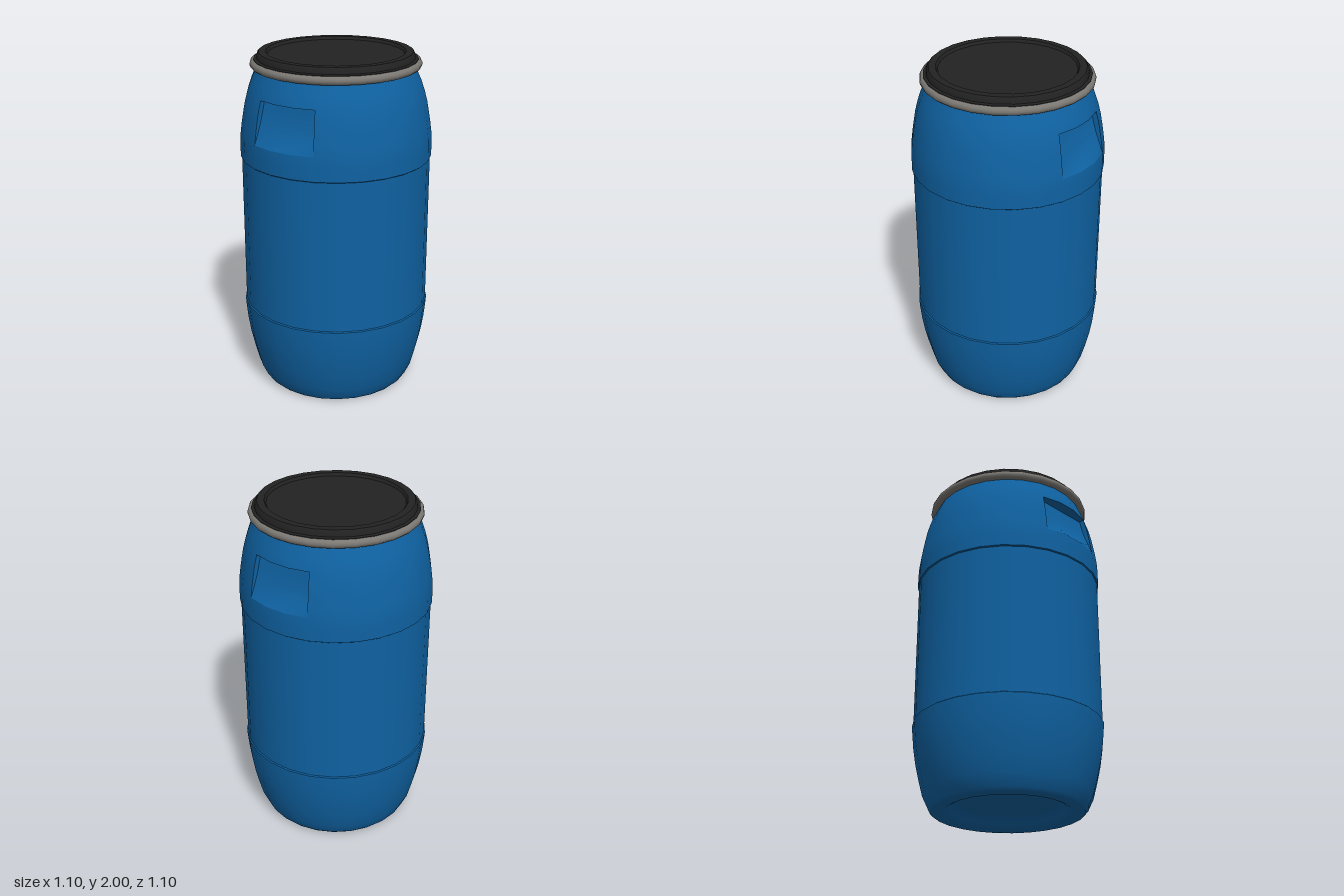
import * as THREE from 'three';
import { toCreasedNormals } from 'three/addons/utils/BufferGeometryUtils.js';

const SIDES = 26;
const STEP = (Math.PI * 2) / SIDES;

// Turned part with a flat side facing front and back.
function turned(points) {
  return new THREE.LatheGeometry(points.map(([r, y]) => new THREE.Vector2(r, y)), SIDES, Math.PI / 2);
}

// Body rows that the hand grips cut through, bottom to top.
const GRIP_ROWS = [[0.549, 1.54], [0.541, 1.6], [0.531, 1.66], [0.52, 1.72], [0.503, 1.785]];
const GRIP_DEPTH = [null, 0.495, 0.472, 0.455, 0.445];

// Repeated points keep an edge sharp.
const BODY = [
  [0, 0.06], [0.27, 0.06], [0.3, 0.05], [0.33, 0.02], [0.36, 0.003], [0.4, 0], [0.43, 0.003], [0.447, 0.02],
  [0.48, 0.09], [0.506, 0.19], [0.526, 0.28], [0.54, 0.37], [0.549, 0.46], [0.552, 0.505],
  [0.552, 0.505], [0.545, 0.51], [0.545, 0.51],
  [0.545, 1.398], [0.545, 1.398], [0.552, 1.403], [0.552, 1.403], [0.552, 1.48],
  ...GRIP_ROWS,
  [0.482, 1.845], [0.457, 1.9], [0.445, 1.93],
];

function bodyGeometry() {
  const geometry = turned(BODY);
  const rows = BODY.length - 1;
  const first = BODY.indexOf(GRIP_ROWS[0]);
  const last = first + GRIP_ROWS.length - 1;
  const source = geometry.index.array;
  const kept = [];
  // Leave out the three front and three back panels where the grips sit.
  for (let i = 0; i < SIDES; i++) {
    for (let j = 0; j < rows; j++) {
      const atGrip = (i >= 5 && i <= 7) || (i >= 18 && i <= 20);
      if (atGrip && j >= first && j < last) continue;
      const start = (i * rows + j) * 6;
      for (let k = 0; k < 6; k++) kept.push(source[start + k]);
    }
  }
  geometry.setIndex(kept);
  return geometry;
}

// Recessed floor, side walls and overhanging ledge of one hand grip.
function gripGeometry() {
  const columns = [-1.5, -1.5, -0.5, 0.5, 1.5, 1.5];
  const positions = [];
  const index = [];
  const onBody = ([r, y], c) => [r * Math.sin(c * STEP), y, r * Math.cos(c * STEP)];
  GRIP_ROWS.forEach((row, j) => {
    columns.forEach((c, i) => {
      const [x, y, z] = onBody(row, c);
      const rim = i === 0 || i === 5;
      if (rim || j === 0) positions.push(x, y, z);
      else positions.push(x * 0.97, j === 4 ? 1.776 : y, GRIP_DEPTH[j]);
    });
  });
  columns.forEach((c) => positions.push(...onBody(GRIP_ROWS[4], c)));
  const n = columns.length;
  for (let j = 0; j < GRIP_ROWS.length; j++) {
    for (let i = 0; i < n - 1; i++) {
      const a = j * n + i;
      index.push(a, a + 1, a + n + 1, a, a + n + 1, a + n);
    }
  }
  const geometry = new THREE.BufferGeometry();
  geometry.setAttribute('position', new THREE.Float32BufferAttribute(positions, 3));
  geometry.setIndex(index);
  return toCreasedNormals(geometry, 0.6);
}

export function createModel() {
  const blue = new THREE.MeshStandardMaterial({ color: 0x0f62a2 });
  blue.name = 'blue plastic';
  const black = new THREE.MeshStandardMaterial({ color: 0x222222 });
  black.name = 'black plastic';
  const grey = new THREE.MeshStandardMaterial({ color: 0x7c7974 });
  grey.name = 'grey metal';

  const group = new THREE.Group();
  group.name = 'barrel';
  const add = (name, geometry, material) => {
    const mesh = new THREE.Mesh(geometry, material);
    mesh.name = name;
    group.add(mesh);
    return mesh;
  };

  add('body', bodyGeometry(), blue);

  // Matching hand grips on front and back
  const grip = gripGeometry();
  add('frontGrip', grip, blue);
  add('backGrip', grip, blue).rotation.y = Math.PI;

  // Clamping ring around the neck
  const ring = [];
  for (let i = 0; i <= 12; i++) {
    const a = -Math.PI + (i / 12) * Math.PI * 2;
    ring.push([0.462 + 0.025 * Math.cos(a), 1.935 + 0.025 * Math.sin(a)]);
  }
  add('clampRing', turned(ring), grey);

  // Lid with a raised rim and a sunken centre
  add('lid', turned([
    [0.44, 1.94], [0.466, 1.955], [0.466, 1.962], [0.466, 1.962], [0.45, 1.966], [0.45, 1.966],
    [0.446, 1.988], [0.436, 2], [0.436, 2], [0.395, 2], [0.395, 2],
    [0.385, 1.984], [0.385, 1.984], [0, 1.984],
  ]), black);

  return group;
}
